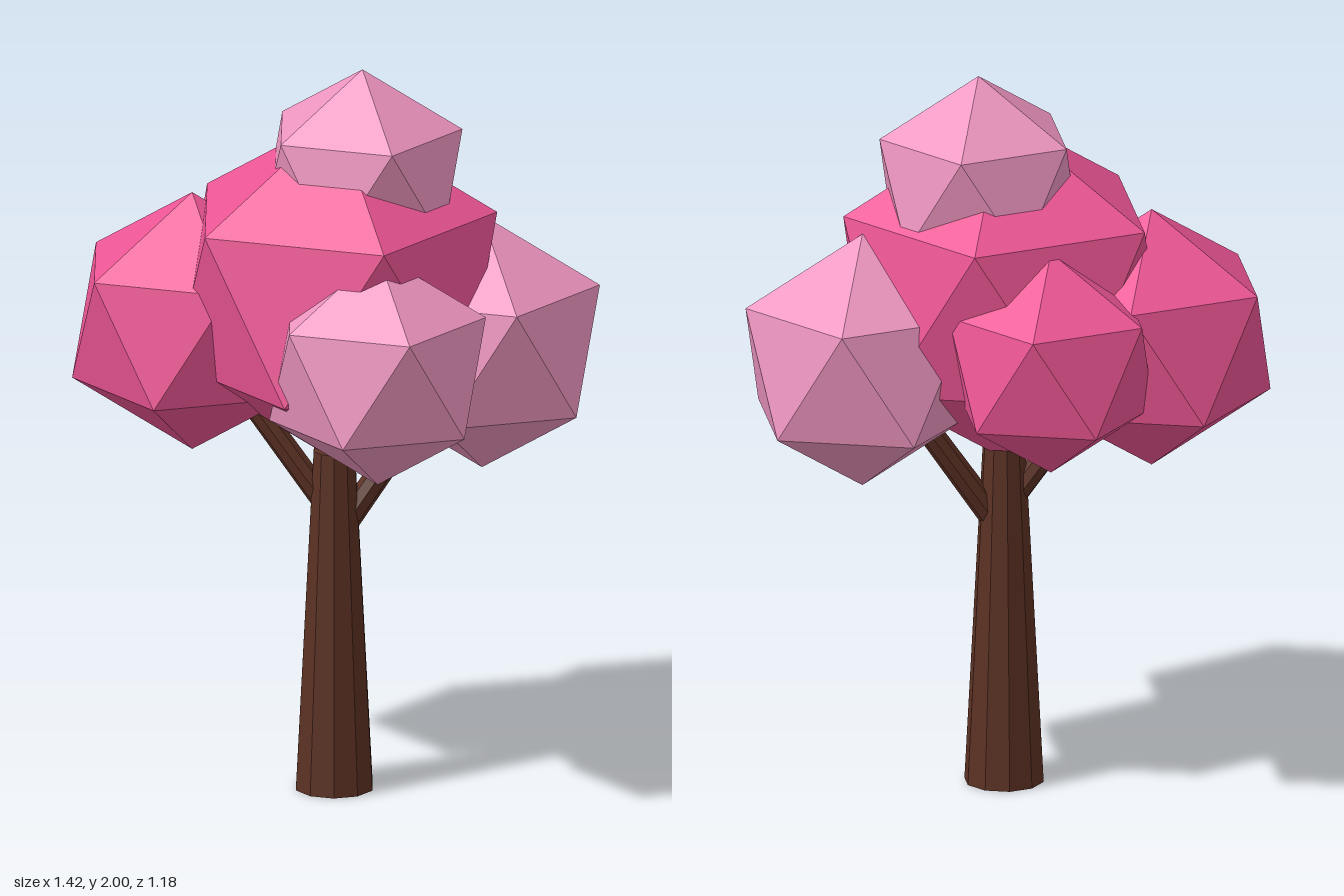
import * as THREE from 'three';

const paint = (color) => new THREE.MeshStandardMaterial({ color, flatShading: true });

// Icosahedron standing on a point, with one upper ring corner facing +x
function clumpGeometry(radius) {
  return new THREE.IcosahedronGeometry(radius, 0)
    .rotateX(-Math.atan2((1 + Math.sqrt(5)) / 2, 1))
    .rotateY(Math.PI / 2);
}

// Tapered round limb between two points
function limb(name, from, to, r0, r1, sides, material) {
  const a = new THREE.Vector3(...from);
  const b = new THREE.Vector3(...to);
  const dir = b.clone().sub(a);
  const mesh = new THREE.Mesh(new THREE.CylinderGeometry(r1, r0, dir.length(), sides), material);
  mesh.name = name;
  mesh.position.copy(a).add(b).multiplyScalar(0.5);
  mesh.quaternion.setFromUnitVectors(new THREE.Vector3(0, 1, 0), dir.normalize());
  return mesh;
}

export function createModel() {
  const tree = new THREE.Group();
  tree.name = 'blossomTree';

  const bark = paint(0x5a3023);
  const deepPink = paint(0xec5594);
  const palePink = paint(0xec94be);

  // Trunk and its two forked branches
  tree.add(
    limb('trunk', [-0.005, 0, 0.01], [-0.005, 0.945, 0.01], 0.108, 0.058, 10, bark),
    limb('rightBranch', [0, 0.757, 0.01], [-0.24, 1.09, -0.02], 0.034, 0.032, 8, bark),
    limb('leftBranch', [0.01, 0.72, 0.01], [0.28, 1.115, -0.03], 0.036, 0.032, 8, bark),
  );

  // Foliage clumps: name, centre, radius, material
  const clumps = [
    ['centreFoliage', [0, 1.395, 0], 0.483, deepPink],
    ['rightFoliage', [-0.388, 1.27, -0.11], 0.36, deepPink],
    ['backFoliage', [-0.085, 1.28, -0.326], 0.31, deepPink],
    ['topFoliage', [0.07, 1.7, -0.03], 0.3, palePink],
    ['leftFoliage', [0.39, 1.228, -0.07], 0.354, palePink],
    ['frontFoliage', [0.115, 1.265, 0.314], 0.325, palePink],
  ];
  for (const [name, centre, radius, material] of clumps) {
    const mesh = new THREE.Mesh(clumpGeometry(radius), material);
    mesh.name = name;
    mesh.position.set(...centre);
    tree.add(mesh);
  }

  return tree;
}
